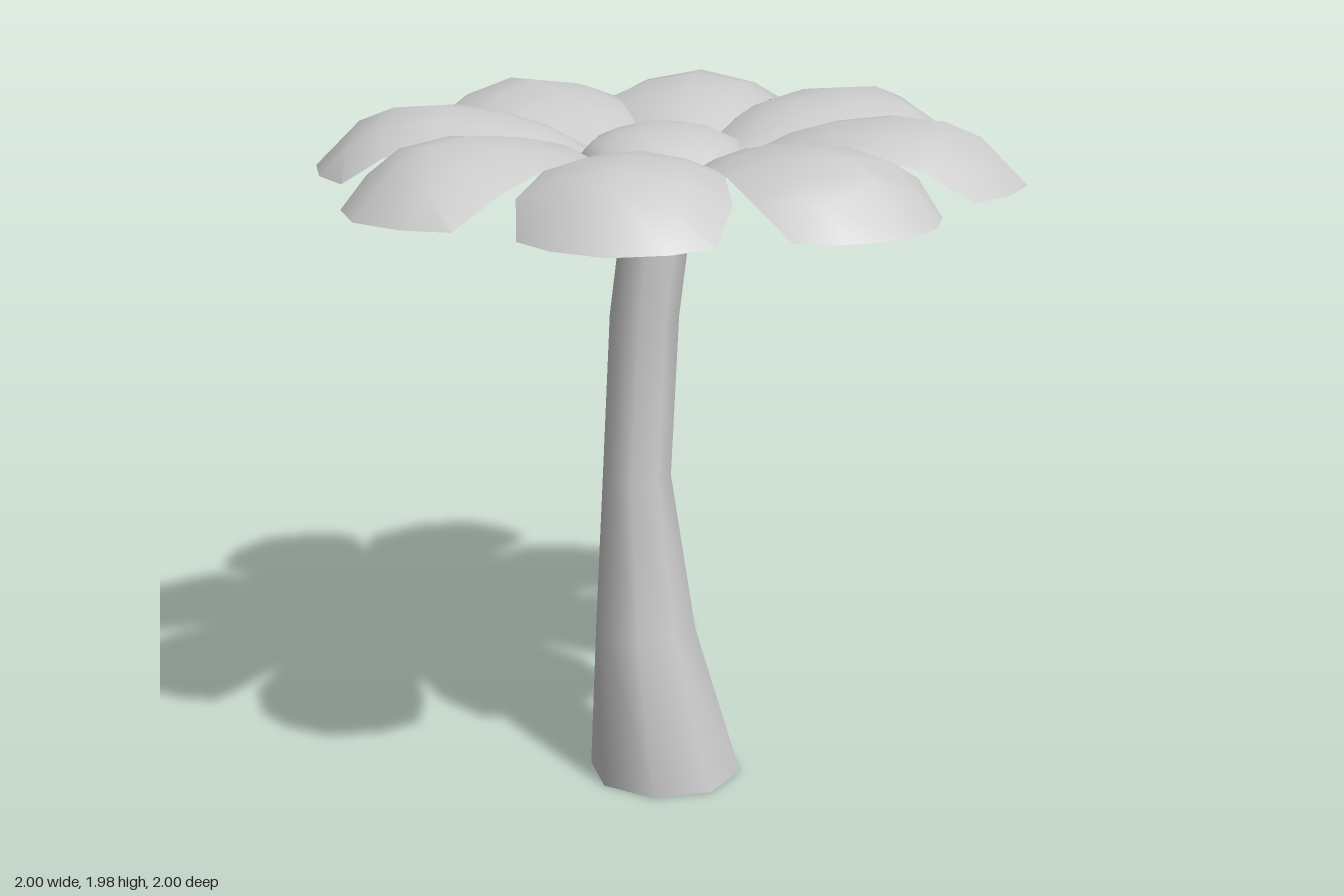
import * as THREE from 'three';

const material = new THREE.MeshStandardMaterial({ color: 0xcccccc, side: THREE.DoubleSide });

// Smooth surface through rows of points; closed joins the last column to the first
function loft(rows, closed) {
  const n = rows[0].length;
  const index = [];
  for (let i = 0; i < rows.length - 1; i++) {
    for (let j = 0; j < (closed ? n : n - 1); j++) {
      const k = (j + 1) % n;
      const a = i * n + j, b = i * n + k, c = a + n, d = b + n;
      index.push(a, b, c, b, d, c);
    }
  }
  const geometry = new THREE.BufferGeometry();
  geometry.setAttribute('position', new THREE.Float32BufferAttribute(rows.flat(2), 3));
  geometry.setIndex(index);
  geometry.computeVertexNormals();
  return geometry;
}

function addMesh(parent, name, geometry) {
  const mesh = new THREE.Mesh(geometry, material);
  mesh.name = name;
  parent.add(mesh);
  return mesh;
}

// Bent, tapering tube, open at the foot: [y, centre x, centre z, radius]
function stemGeometry() {
  const rings = [
    [0, 0, 0, 0.225],
    [0.46, -0.02, 0.057, 0.147],
    [0.93, -0.04, 0.072, 0.099],
    [1.4, -0.025, 0.055, 0.099],
    [1.88, 0, 0, 0.098],
  ];
  const sides = 8;
  return loft(rings.map(([y, x, z, r]) => Array.from({ length: sides }, (_, j) => {
    const a = (j / sides) * Math.PI * 2;
    return [x + r * Math.cos(a), y, z - r * Math.sin(a)];
  })), true);
}

// Arched petal along +x: [spine x, edge x, half width, spine y, edge y]
function petalGeometry() {
  const sections = [
    [0.22, 0.22, 0.09, 1.86, 1.85],
    [0.34, 0.37, 0.16, 1.925, 1.895],
    [0.47, 0.47, 0.2, 1.96, 1.915],
    [0.64, 0.57, 0.235, 1.98, 1.92],
    [0.77, 0.735, 0.275, 1.97, 1.88],
    [0.87, 0.86, 0.25, 1.93, 1.8],
    [1, 0.86, 0.25, 1.8, 1.8],
  ];
  const across = [-1, -0.6, 0, 0.6, 1];
  return loft(sections.map(([xs, xe, w, ys, ye]) => across.map((t) =>
    [xs + (xe - xs) * t * t, ys + (ye - ys) * t * t, w * t])), false);
}

export function createModel() {
  const model = new THREE.Group();
  model.name = 'flower';

  addMesh(model, 'stem', stemGeometry());

  // Shallow open dome in the middle of the flower
  const dome = new THREE.SphereGeometry(1, 12, 5, 0, Math.PI * 2, 0, Math.PI / 2);
  dome.scale(0.248, 0.115, 0.248);
  addMesh(model, 'flowerCentre', dome).position.y = 1.83;

  // Ring of eight petals
  const petals = new THREE.Group();
  petals.name = 'petals';
  const petal = petalGeometry();
  for (let i = 0; i < 8; i++) {
    addMesh(petals, 'petal', petal).rotation.y = (i * Math.PI) / 4;
  }
  model.add(petals);
  return model;
}
